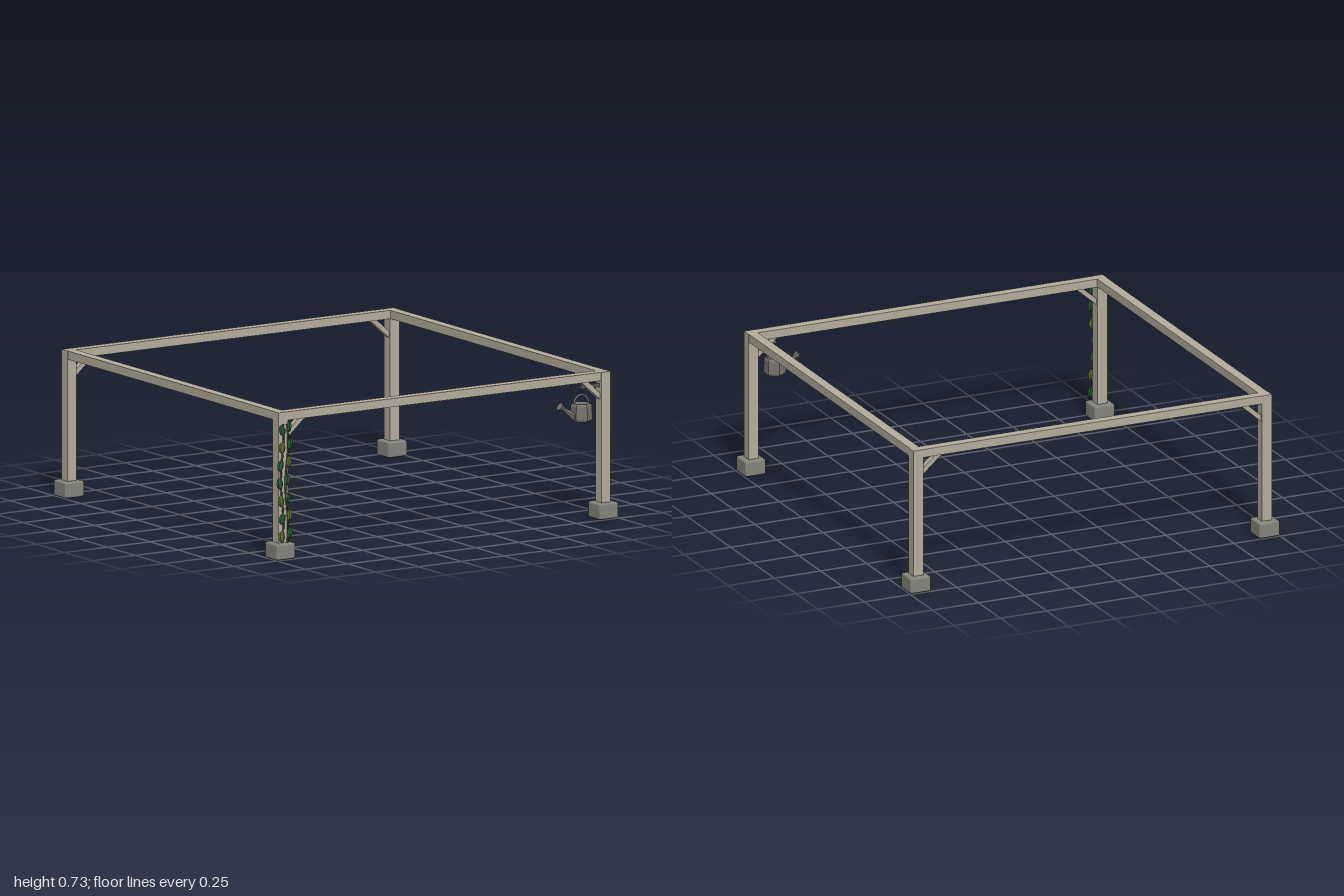
import * as THREE from 'three';
import { RoundedBoxGeometry } from 'three/addons/geometries/RoundedBoxGeometry.js';

const mat = (name, color) => {
  const m = new THREE.MeshStandardMaterial({ color });
  m.name = name;
  return m;
};

// Faceted copy of a geometry, for the low-poly parts
const faceted = (geometry) => {
  const g = geometry.index ? geometry.toNonIndexed() : geometry;
  g.computeVertexNormals();
  return g;
};

export function createModel() {
  const model = new THREE.Group();
  model.name = 'pergola';
  const wood = mat('weatheredWood', 0xb4ad9c);
  const stone = mat('stone', 0x84857c);
  const metal = mat('dullMetal', 0x77746e);
  const iron = mat('darkIron', 0x5c5a58);
  const leafDark = mat('darkLeaf', 0x2b5c36);
  const leafOlive = mat('oliveLeaf', 0x5c742c);
  const stem = mat('vineStem', 0x4a4f2c);

  const add = (name, geometry, material, x, y, z, parent = model) => {
    const mesh = new THREE.Mesh(geometry, material);
    mesh.name = name;
    mesh.position.set(x, y, z);
    parent.add(mesh);
    return mesh;
  };

  // A tapered bar between two points
  const rod = (name, a, b, ra, rb, sides, material, parent) => {
    const dir = b.clone().sub(a);
    const mid = a.clone().add(b).multiplyScalar(0.5);
    const g = faceted(new THREE.CylinderGeometry(rb, ra, dir.length(), sides));
    const mesh = add(name, g, material, mid.x, mid.y, mid.z, parent);
    mesh.quaternion.setFromUnitVectors(new THREE.Vector3(0, 1, 0), dir.normalize());
    return mesh;
  };

  const P = 0.943, W = 0.054, TOP = 0.73, BEAM = 0.042;

  // Corner posts on stone footings, each with a diagonal brace
  for (const sx of [-1, 1]) {
    for (const sz of [-1, 1]) {
      add('footing', new RoundedBoxGeometry(0.112, 0.08, 0.112, 1, 0.01), stone, sx * 0.944, 0.04, sz * 0.944);
      add('post', new THREE.BoxGeometry(W, TOP - 0.075, W), wood, sx * P, (TOP + 0.075) / 2, sz * P);
      const brace = add('brace', new THREE.BoxGeometry(0.15, 0.024, 0.03), wood, sx * 0.868, 0.652, sz * P);
      brace.rotation.z = -sx * 0.72;
    }
  }

  // Top frame
  for (const s of [-1, 1]) {
    const len = 2 * P - W;
    add('frontBackBeam', new THREE.BoxGeometry(len, BEAM, 0.05), wood, 0, TOP - BEAM / 2, s * P);
    add('sideBeam', new THREE.BoxGeometry(0.05, BEAM, len), wood, s * P, TOP - BEAM / 2, 0);
  }

  // Bracket with a hook
  const cx = 0.816;
  add('bracket', new THREE.BoxGeometry(0.11, 0.018, 0.018), iron, 0.865, 0.664, P);
  add('hook', new THREE.CylinderGeometry(0.004, 0.004, 0.04, 6), iron, cx, 0.643, P);

  // Hanging watering can
  const can = new THREE.Group();
  can.name = 'wateringCan';
  can.position.set(cx, 0, P);
  model.add(can);
  const profile = [[0, 0.496], [0.05, 0.496], [0.055, 0.506], [0.053, 0.57], [0.044, 0.583], [0, 0.583]]
    .map(([r, y]) => new THREE.Vector2(r, y));
  add('canBody', faceted(new THREE.LatheGeometry(profile, 6)), metal, 0, 0, 0, can);
  add('canHandle', new THREE.TorusGeometry(0.042, 0.0055, 6, 16, Math.PI), metal, 0, 0.583, 0, can);
  const v = (x, y) => new THREE.Vector3(x, y, 0);
  rod('spout', v(-0.035, 0.515), v(-0.108, 0.567), 0.02, 0.009, 6, metal, can);
  rod('spoutRose', v(-0.1, 0.561), v(-0.126, 0.58), 0.009, 0.021, 8, metal, can);

  // Climbing vine: two wavy strands with leaves on the front of one post
  const vine = new THREE.Group();
  vine.name = 'vine';
  model.add(vine);
  const leaf = faceted(new THREE.SphereGeometry(1, 6, 4));
  const strands = [
    { x: -0.952, phase: 0, y0: 0.112, dark: [0, 1, 0, 1, 1, 0, 1] },
    { x: -0.925, phase: 0.4, y0: 0.128, dark: [1, 0, 1, 1, 0, 1, 1] },
  ];
  strands.forEach(({ x, phase, y0, dark }, k) => {
    const sway = (y) => x + 0.008 * Math.sin((y - 0.08) * 15 + phase);
    const points = [];
    for (let i = 0; i <= 16; i++) {
      const y = 0.08 + i * 0.037;
      points.push(new THREE.Vector3(sway(y), y, 0.973));
    }
    const path = new THREE.CatmullRomCurve3(points);
    add('vineStrand', new THREE.TubeGeometry(path, 32, 0.005, 5), stem, 0, 0, 0, vine);
    dark.forEach((isDark, i) => {
      const y = y0 + i * 0.0885;
      const side = k ? 1 : -1;
      const lx = sway(y) + side * 0.009;
      const m = add('leaf', leaf, isDark ? leafDark : leafOlive, lx, y, 0.978, vine);
      m.scale.set(0.017, 0.028, 0.009);
      m.rotation.z = side * 0.2 * Math.sin(i * 1.9 + k);
      m.rotation.y = side * 0.25;
    });
  });

  return model;
}
